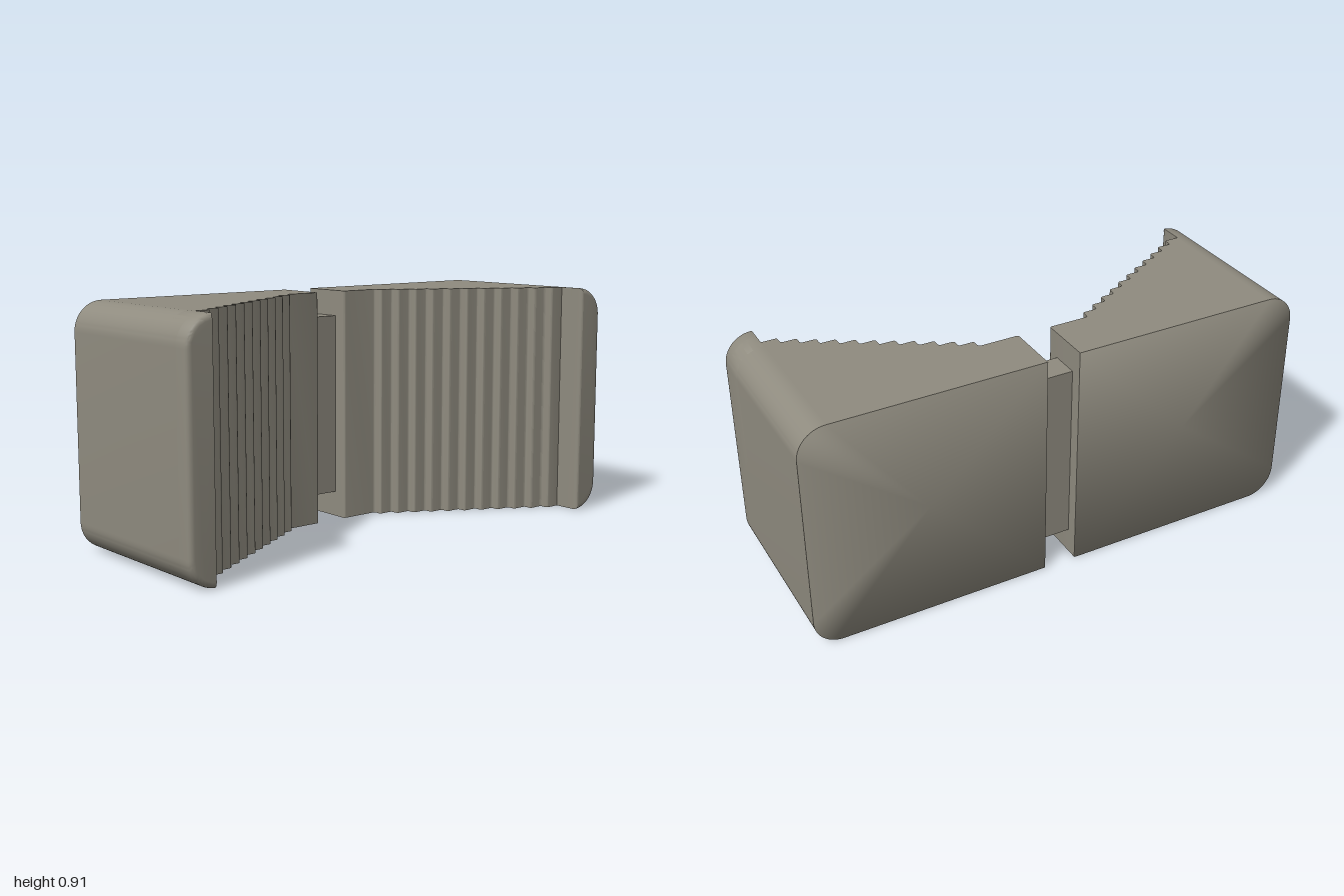
import * as THREE from 'three';
import { toCreasedNormals } from 'three/addons/utils/BufferGeometryUtils.js';

const INNER = 0.065, LIP = 0.89, HALF = 0.455, BACK = -0.36, R = 0.11;

// Stepped plan of one half (x, z), with softened corners
function stepOutline() {
  const pts = [[LIP, BACK + 0.002], [LIP, 0.25]];
  const steps = 11, run = (LIP - 0.225) / steps, rise = 0.395 / steps;
  for (let i = steps - 1; i >= 0; i--) {
    const x = 0.225 + i * run, z = -0.145 + i * rise;
    pts.push([x, z + rise], [x, z]);
  }
  pts.push([INNER, -0.145], [INNER, BACK + 0.002]);
  const shape = new THREE.Shape();
  pts.forEach(([x, z], i) => {
    const p = new THREE.Vector2(x, z);
    if (i < 2 || i === pts.length - 1) {
      if (i) shape.lineTo(x, z); else shape.moveTo(x, z);
      return;
    }
    const toward = ([qx, qz]) => {
      const d = new THREE.Vector2(qx - x, qz - z);
      return d.setLength(0.009).add(p);
    };
    const a = toward(pts[i - 1]), b = toward(pts[i + 1]);
    shape.lineTo(a.x, a.y);
    shape.quadraticCurveTo(x, z, b.x, b.y);
  });
  return shape;
}

// Outer end, seen from the front, with large rounded corners
function lipShape() {
  const s = new THREE.Shape();
  s.absarc(LIP, -HALF + R, R, -Math.PI / 2, 0, false);
  s.absarc(LIP, HALF - R, R, 0, Math.PI / 2, false);
  return s;
}

// Flat back panel: a fan whose rim normals blend softly into the sides
function backPanel() {
  const rim = lipShape().getPoints(10).map((p) => [p.x, p.y]);
  rim.push([INNER, HALF], [INNER, -HALF]);
  const pos = [(INNER + 1) / 2, 0, BACK], nor = [0, 0, -1], index = [];
  rim.forEach(([x, y], i) => {
    pos.push(x, y, BACK);
    const cy = THREE.MathUtils.clamp(y, -HALF + R, HALF - R);
    const out = x === INNER ? new THREE.Vector2(-0.4, Math.sign(y))
      : new THREE.Vector2(x - LIP, y - cy).normalize();
    const n = new THREE.Vector3(out.x * 0.55, out.y * 0.55, -1).normalize();
    nor.push(n.x, n.y, n.z);
    index.push(0, ((i + 1) % rim.length) + 1, i + 1);
  });
  const g = new THREE.BufferGeometry();
  g.setAttribute('position', new THREE.Float32BufferAttribute(pos, 3));
  g.setAttribute('normal', new THREE.Float32BufferAttribute(nor, 3));
  g.setIndex(index);
  return g;
}

export function createModel() {
  const material = new THREE.MeshStandardMaterial({ color: 0x8f8b7f });
  material.name = 'warm grey';

  const add = (parent, name, geometry) => {
    const mesh = new THREE.Mesh(geometry, material);
    mesh.name = name;
    parent.add(mesh);
    return mesh;
  };

  // Stepped body
  const body = new THREE.ExtrudeGeometry(stepOutline(), { depth: 2 * HALF, bevelEnabled: false, curveSegments: 3 });
  body.rotateX(Math.PI / 2).translate(0, HALF, 0);
  const bodyGeometry = toCreasedNormals(body, 0.7);

  // Outer wall
  const wall = new THREE.ExtrudeGeometry(lipShape(), { depth: 0.658, bevelEnabled: false, curveSegments: 10 });
  wall.translate(0, 0, BACK + 0.002);
  const wallGeometry = toCreasedNormals(wall, 0.7);

  // Rounded front lip of the wall
  const b = 0.02;
  const lip = new THREE.ExtrudeGeometry(lipShape(), {
    depth: 0.12, bevelThickness: b, bevelSize: b, bevelOffset: -b, bevelSegments: 4, curveSegments: 10,
  });
  lip.translate(0, 0, 0.36 - 0.12 - b);
  const lipGeometry = toCreasedNormals(lip, 0.7);

  const panelGeometry = backPanel();

  const model = new THREE.Group();
  model.name = 'steppedBlockPair';

  // Two halves; each is symmetric in height, so a half turn mirrors it
  for (const side of ['left', 'right']) {
    const half = new THREE.Group();
    half.name = side + 'Half';
    add(half, 'steppedBody', bodyGeometry);
    add(half, 'outerWall', wallGeometry);
    add(half, 'frontLip', lipGeometry);
    add(half, 'backPanel', panelGeometry);
    half.position.y = HALF;
    if (side === 'right') half.rotation.z = Math.PI;
    model.add(half);
  }

  // Bridge between the halves
  add(model, 'bridge', new THREE.BoxGeometry(0.15, 0.71, 0.11)).position.set(0, HALF, -0.255);

  return model;
}
